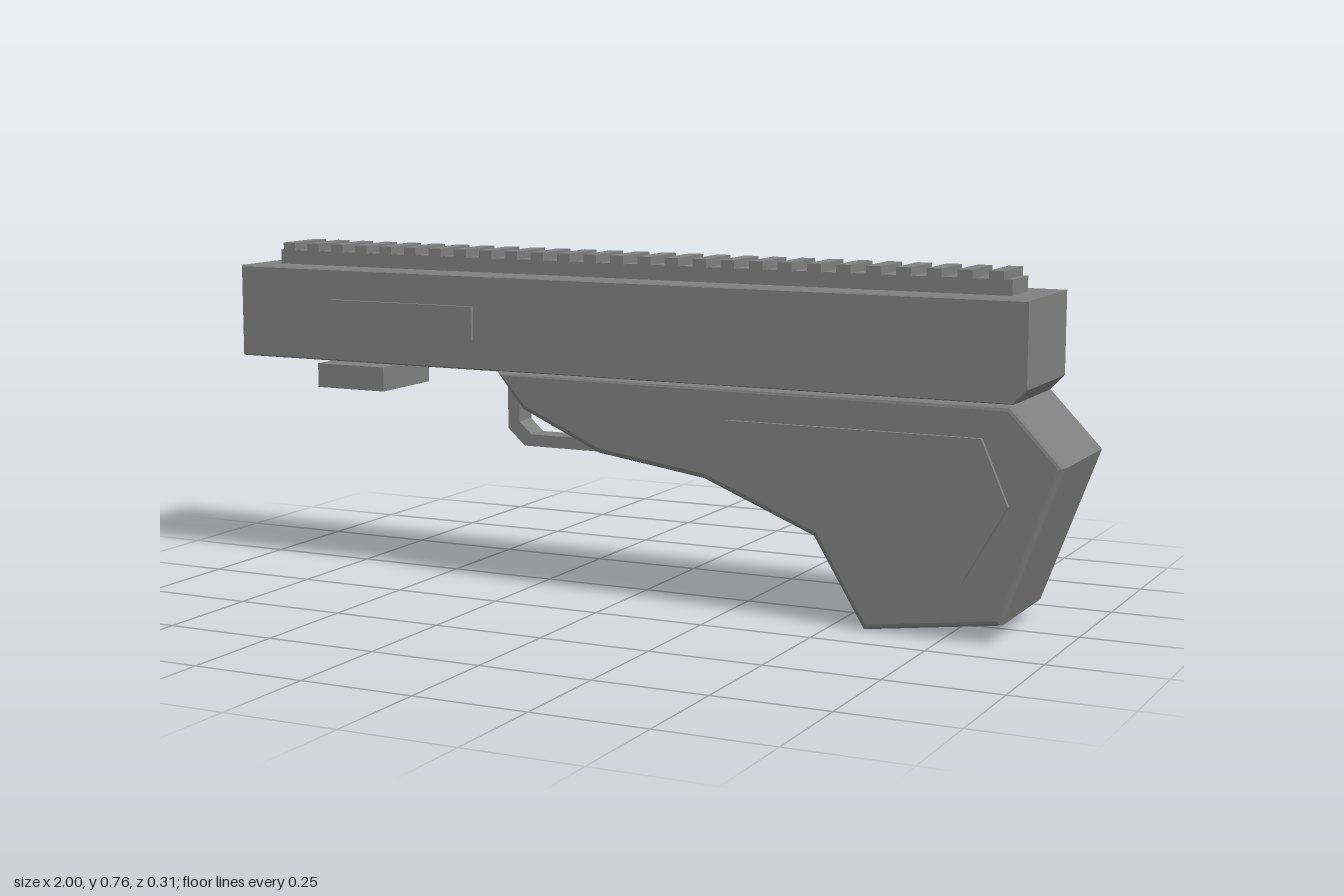
import * as THREE from 'three';

const grey = new THREE.MeshStandardMaterial({ color: 0x808080 });
grey.name = 'grey';

// Side profile extruded symmetrically about z = 0, with bevels kept inside the outline
function slab(name, points, halfWidth, bevel = 0, segments = 1) {
  const shape = new THREE.Shape(points.map(([x, y]) => new THREE.Vector2(x, y)));
  const geometry = new THREE.ExtrudeGeometry(shape, {
    depth: 2 * (halfWidth - bevel),
    bevelEnabled: bevel > 0,
    bevelSize: bevel,
    bevelThickness: bevel,
    bevelOffset: -bevel,
    bevelSegments: segments,
  });
  geometry.translate(0, 0, bevel - halfWidth);
  const mesh = new THREE.Mesh(geometry, grey);
  mesh.name = name;
  return mesh;
}

// Box given by its x range, y range and half width
function block(name, x0, x1, y0, y1, halfWidth) {
  const mesh = new THREE.Mesh(new THREE.BoxGeometry(x1 - x0, y1 - y0, 2 * halfWidth), grey);
  mesh.position.set((x0 + x1) / 2, (y0 + y1) / 2, 0);
  mesh.name = name;
  return mesh;
}

export function createModel() {
  const model = new THREE.Group();
  model.name = 'model';

  // Long upper housing with a chamfered rear lower edge
  model.add(slab('housing', [
    [-1, 0.497], [0.885, 0.497], [0.917, 0.53], [0.917, 0.71], [-1, 0.71],
  ], 0.131, 0.003));

  // Grip and shoulder piece
  model.add(slab('stock', [
    [-0.305, 0.498], [-0.24, 0.417], [-0.05, 0.332], [0.205, 0.295], [0.46, 0.192],
    [0.575, 0.002], [0.875, 0.042], [1, 0.378], [0.885, 0.498],
  ], 0.144, 0.012, 3));

  // Raised panels showing on both sides
  model.add(slab('stockPanels', [
    [0.262, 0.428], [0.62, 0.103], [0.795, 0.13], [0.887, 0.292], [0.828, 0.428],
  ], 0.154));
  model.add(block('housingPanels', -0.75, -0.37, 0.565, 0.64, 0.141));

  // Toothed top rail
  const rail = new THREE.Group();
  rail.name = 'topRail';
  rail.add(block('railBase', -0.94, 0.855, 0.708, 0.743, 0.053));
  const teeth = 27;
  for (let i = 0; i < teeth; i++) {
    const x = -0.908 + (i * 1.732) / (teeth - 1);
    rail.add(block('railTooth', x - 0.016, x + 0.016, 0.742, 0.761, 0.065));
  }
  model.add(rail);

  // Lower block near the front end
  model.add(block('lowerBlock', -0.81, -0.63, 0.428, 0.484, 0.1));

  // Trigger guard and trigger
  model.add(slab('triggerGuard', [
    [-0.34, 0.5], [-0.34, 0.353], [-0.297, 0.315], [-0.065, 0.315], [-0.045, 0.342],
    [-0.28, 0.342], [-0.311, 0.37], [-0.311, 0.5],
  ], 0.028));
  model.add(slab('trigger', [
    [-0.235, 0.364], [-0.207, 0.358], [-0.186, 0.395], [-0.18, 0.42], [-0.235, 0.425], [-0.211, 0.397],
  ], 0.018));

  return model;
}
